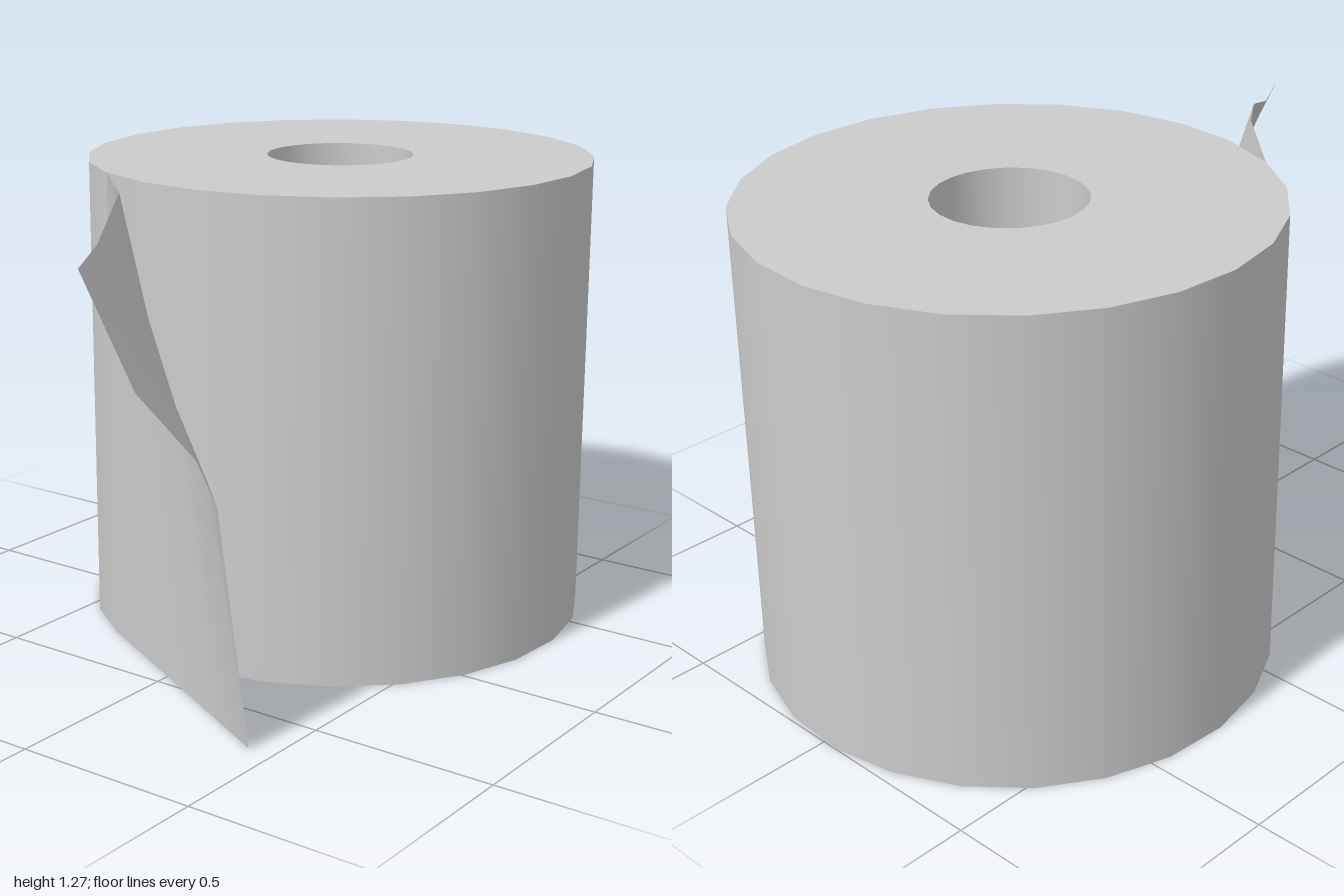
import * as THREE from 'three';

const R = 0.688, HOLE = 0.2, H = 1.27, CX = 0.312, SIDES = 24;
const START = THREE.MathUtils.degToRad(3.5);
const grey = new THREE.MeshStandardMaterial({ color: 0xcccccc });
const sheetGrey = new THREE.MeshStandardMaterial({ color: 0xcccccc, side: THREE.DoubleSide });

// One revolved band of the roll, kept separate so the rims stay sharp
function band(name, a, b) {
  const points = [new THREE.Vector2(...a), new THREE.Vector2(...b)];
  const mesh = new THREE.Mesh(new THREE.LatheGeometry(points, SIDES, START), grey);
  mesh.name = name;
  return mesh;
}

// Loose sheet: straight along the floor, its upper corner curling back
function looseSheet() {
  const lerp = THREE.MathUtils.lerp;
  const root = [-0.304, -0.307], tip = [-0.68, 0.43];
  // columns: distance along the sheet, height where the curl starts, top point
  const columns = [
    { t: 0, bend: 1, top: [-0.304, H, -0.307] },
    { t: 0.32, bend: 0.85, top: [-0.52, H, -0.08] },
    { t: 0.52, bend: 0.72, top: [-0.63, H, 0] },
    { t: 0.78, bend: 0.58, top: [-0.81, 1.21, 0.1] },
  ];
  // free edge, from the floor up
  const edge = [[-0.68, 0, 0.43], [-0.77, 0.63, 0.41], [-0.82, 0.75, 0.39],
    [-0.945, 0.925, 0.32], [-1, 1.2, 0.21]];
  const rows = edge.length, cols = columns.length + 1;
  const pos = [], index = [];
  for (let r = 0; r < rows; r++) {
    for (const { t, bend, top } of columns) {
      const y = edge[r][1] / 1.2 * top[1];
      const w = THREE.MathUtils.clamp((y - bend) / (top[1] - bend), 0, 1);
      pos.push(lerp(lerp(root[0], tip[0], t), top[0], w), y,
        lerp(lerp(root[1], tip[1], t), top[2], w));
    }
    pos.push(...edge[r]);
  }
  for (let r = 0; r < rows - 1; r++) {
    for (let c = 0; c < cols - 1; c++) {
      const a = r * cols + c, b = a + 1, d = a + cols, e = d + 1;
      index.push(a, d, b, b, d, e);
    }
  }
  const geo = new THREE.BufferGeometry();
  geo.setAttribute('position', new THREE.Float32BufferAttribute(pos, 3));
  geo.setIndex(index);
  geo.computeVertexNormals();
  const mesh = new THREE.Mesh(geo, sheetGrey);
  mesh.name = 'looseSheet';
  return mesh;
}

export function createModel() {
  const model = new THREE.Group();
  model.name = 'paperRoll';

  // Hollow roll
  const roll = new THREE.Group();
  roll.name = 'roll';
  roll.position.x = CX;
  roll.add(
    band('outerWall', [R, 0], [R, H]),
    band('topFace', [R, H], [HOLE, H]),
    band('coreWall', [HOLE, H], [HOLE, 0]),
    band('bottomFace', [HOLE, 0], [R, 0]),
  );

  model.add(roll, looseSheet());
  return model;
}
